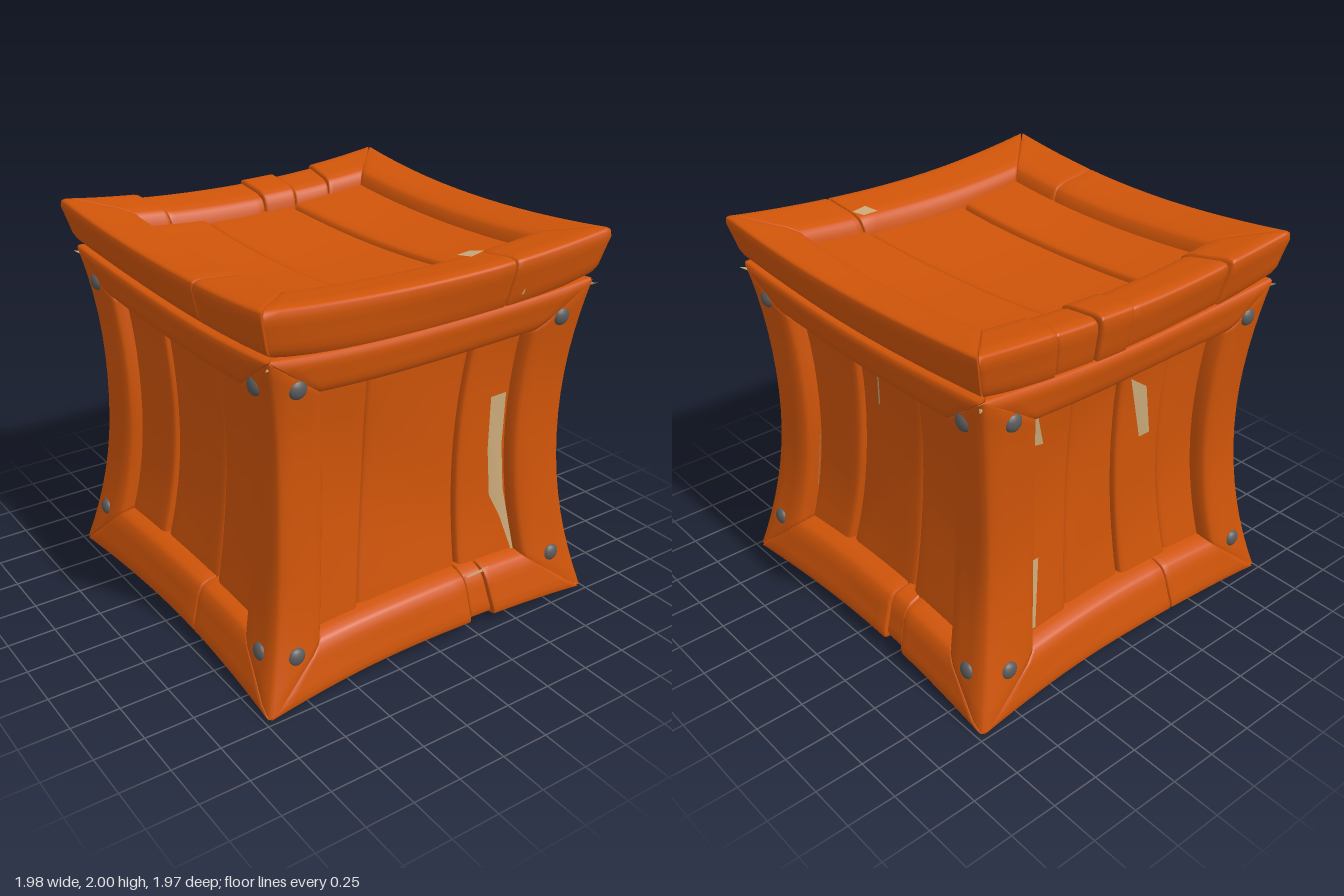
import * as THREE from 'three';
import { mergeVertices } from 'three/addons/utils/BufferGeometryUtils.js';

const wood = new THREE.MeshStandardMaterial({ color: 0xcf5409 });
wood.name = 'orange wood';
const bare = new THREE.MeshStandardMaterial({ color: 0xc9a878, side: THREE.DoubleSide });
bare.name = 'bare wood';
const iron = new THREE.MeshStandardMaterial({ color: 0x5c5a5a });
iron.name = 'iron';

const INNER = 0.68; // inner edge of every frame, in cube units
const lerp = THREE.MathUtils.lerp;
const hump = (t) => Math.sin(Math.PI * t);

// Cube height (-1..1) to crate height for the body
function bodyY(q) {
  if (q < -INNER) return (q + 1) / 0.32 * 0.29;
  if (q > INNER) return 1.54 + (q - INNER) / 0.32 * 0.215;
  return lerp(0.29, 1.54, (q + INNER) / (2 * INNER));
}

// Pinched waist, flared corners and sagging edges
function warp(x, y, z) {
  const d = y - 1;
  const wob = 0.005 * Math.sin(6 * y + 4 * x - 3 * z);
  return new THREE.Vector3(
    x * (0.848 + 0.157 * d * d) * (1 - 0.015 * (1 - z * z)) + wob,
    1 + d * (0.88 + 0.07 * x * x + 0.07 * z * z),
    z * (0.875 + 0.128 * d * d) * (1 - 0.015 * (1 - x * x)) - wob
  );
}

// Body posts are widest on the model's left
function toBody(p) {
  const shift = p.x > 0 ? -0.055 * hump(p.x) : 0.02 * hump(p.x);
  return warp(p.x + shift, bodyY(p.y), p.z);
}

// The lid opening is shifted the other way, and its front and back edges hang lower
function toLid(p) {
  const low = 1.7 + 0.055 * p.x * p.x;
  const x = 0.98 * p.x + (p.x > 0 ? 0.06 * hump(p.x) : 0);
  const z = 0.98 * p.z + (p.z < 0 ? 0.03 * hump(p.z) : 0);
  return warp(x, lerp(low, 2, (p.y - INNER) / 0.32), z);
}

// Rounded, finely divided box between two corners, then bent by a rule
function softBox(lo, hi, r, n, rule) {
  const g = new THREE.BoxGeometry(2, 2, 2, ...n);
  g.deleteAttribute('uv');
  g.deleteAttribute('normal');
  const pos = g.attributes.position;
  for (let i = 0; i < pos.count; i++) {
    const p = [], q = [];
    let len = 0;
    for (let k = 0; k < 3; k++) {
      const N = n[k], s = Math.round((pos.getComponent(i, k) + 1) / 2 * N);
      const L = hi[k] - lo[k], R = r[k];
      let t;
      if (s < 2) t = s * 0.35 * R;
      else if (s > N - 2) t = L - (N - s) * 0.35 * R;
      else t = lerp(R, L - R, (s - 2) / (N - 4));
      p[k] = lo[k] + t;
      q[k] = Math.min(Math.max(p[k], lo[k] + R), hi[k] - R);
      len += ((p[k] - q[k]) / R) ** 2;
    }
    len = Math.sqrt(len) || 1;
    const v = p.map((c, k) => q[k] + (c - q[k]) / len);
    const w = rule(new THREE.Vector3(...v));
    pos.setXYZ(i, w.x, w.y, w.z);
  }
  const m = mergeVertices(g, 1e-5);
  m.computeVertexNormals();
  return m;
}

function add(group, name, geometry, material) {
  const mesh = new THREE.Mesh(geometry, material);
  mesh.name = name;
  group.add(mesh);
  return mesh;
}

// Mitred beam along one cube edge, optionally cracked into pieces
function beam(group, name, axis, s1, s2, cuts = [], lid = false) {
  const others = [0, 1, 2].filter((k) => k !== axis);
  const ends = [-1, ...cuts, 1];
  for (let i = 0; i + 1 < ends.length; i++) {
    const lo = [], hi = [], r = [0.07, 0.07, 0.07], n = [8, 8, 8];
    const outer = i % 2 && ends[i + 1] < 1 ? 0.985 : 1; // inner pieces sit a little deeper
    lo[axis] = ends[i];
    hi[axis] = ends[i + 1];
    r[axis] = 0.01;
    n[axis] = 20;
    others.forEach((k, j) => {
      const s = j ? s2 : s1;
      lo[k] = s > 0 ? INNER : -outer;
      hi[k] = s > 0 ? outer : -INNER;
    });
    const rule = (p) => {
      const m = Math.min(...others.filter((k) => !(lid && k === 1)).map((k) => Math.abs(p.getComponent(k))));
      const u = p.getComponent(axis);
      p.setComponent(axis, u * (1 - (1 - m) * u * u));
      return lid ? toLid(p) : toBody(p);
    };
    add(group, name, softBox(lo, hi, r, n, rule), wood);
  }
}

// Turns face coordinates (across, along, outward) into cube coordinates
const V = (x, y, z) => new THREE.Vector3(x, y, z);
const faces = {
  front: (p) => V(p.x, p.y, p.z),
  right: (p) => V(p.z, p.y, -p.x),
  back: (p) => V(-p.x, p.y, -p.z),
  left: (p) => V(-p.z, p.y, p.x),
  top: (p) => V(p.x, p.z, -p.y),
  bottom: (p) => V(p.x, -p.z, p.y),
};
const place = (face, p) => (face === 'top' ? toLid : toBody)(faces[face](p));

// Recessed planks; each seam is [position at lower end, position at upper end]
function planks(group, face, seams) {
  const edges = [[-0.74, -0.74], ...seams, [0.74, 0.74]];
  for (let i = 0; i + 1 < edges.length; i++) {
    const [a, b] = [edges[i], edges[i + 1]];
    const h = 0.9 + (i % 2 ? -0.012 : 0.006);
    const rule = (p) => {
      const t = (p.y + 0.74) / 1.48;
      const bend = 0.02 * Math.sin(t * 7 + i) * (1 - Math.abs(p.x * 2 - 1));
      p.x = lerp(lerp(a[0], a[1], t), lerp(b[0], b[1], t), p.x) + bend;
      return place(face, p);
    };
    add(group, face + 'Plank', softBox([0, -0.74, 0.76], [1, 0.74, h], [0.09, 0.02, 0.04], [10, 16, 5], rule), wood);
  }
}

// Thin bare-wood patch laid on a face
function chip(group, face, depth, pts) {
  const g = new THREE.ShapeGeometry(new THREE.Shape(pts.map((p) => new THREE.Vector2(...p))));
  const pos = g.attributes.position;
  for (let i = 0; i < pos.count; i++) {
    const w = place(face, V(pos.getX(i), pos.getY(i), depth));
    pos.setXYZ(i, w.x, w.y, w.z);
  }
  g.computeVertexNormals();
  add(group, 'bareWoodChip', g, bare);
}

export function createModel() {
  const crate = new THREE.Group();
  crate.name = 'crate';

  // Body frame: posts, then lower and upper rails
  for (const s of [-1, 1]) {
    for (const t of [-1, 1]) beam(crate, 'cornerPost', 1, s, t);
    beam(crate, 'lowerRail', 0, -1, s, s > 0 ? [0.27, 0.43] : [-0.3]);
    beam(crate, 'lowerSideRail', 2, s, -1, s > 0 ? [-0.34, -0.2] : [0.25]);
    beam(crate, 'upperRail', 0, 1, s);
    beam(crate, 'upperSideRail', 2, s, 1);
  }

  // Lid frame
  beam(crate, 'lidFrontBeam', 0, 1, 1, [0.35], true);
  beam(crate, 'lidBackBeam', 0, 1, -1, [-0.58, 0.06, 0.24, 0.48], true);
  beam(crate, 'lidLeftBeam', 2, 1, 1, [], true);
  beam(crate, 'lidRightBeam', 2, -1, 1, [0.38], true);

  // Planks of all six faces
  planks(crate, 'front', [[-0.4, -0.34], [0.29, 0.37]]);
  planks(crate, 'right', [[-0.33, -0.22], [0.25, 0.32]]);
  planks(crate, 'back', [[-0.4, -0.37], [0.06, 0.02], [0.4, 0.36]]);
  planks(crate, 'left', [[-0.3, -0.26], [0.27, 0.3]]);
  planks(crate, 'top', [[-0.3, -0.3], [0.31, 0.225]]);
  planks(crate, 'bottom', [[-0.28, -0.3], [0.3, 0.26]]);

  // Bare wood where the paint has split away
  chip(crate, 'front', 0.915, [[0.55, 0.32], [0.555, 0], [0.56, -0.3], [0.62, -0.45], [0.665, -0.68], [0.68, -0.68], [0.67, -0.42], [0.66, -0.28], [0.655, 0], [0.655, 0.32]]);
  chip(crate, 'front', 0.975, [[0.29, -0.7], [0.46, -0.69], [0.45, -0.72], [0.4, -0.71], [0.3, -0.715]]);
  chip(crate, 'front', 0.99, [[0.52, 1.06], [0.54, 1.06], [0.535, 1.11]]);
  chip(crate, 'back', 0.915, [[0.08, 0.62], [0.2, 0.2], [0.28, 0.2], [0.21, 0.52]]);
  chip(crate, 'back', 0.915, [[-0.68, 0.66], [-0.68, 0.48], [-0.59, 0.46], [-0.63, 0.66]]);
  chip(crate, 'back', 0.915, [[-0.69, -0.66], [-0.68, -0.25], [-0.61, -0.25], [-0.63, -0.66]]);
  chip(crate, 'right', 0.915, [[-0.04, 0.4], [0, 0.62], [0.012, 0.62], [-0.025, 0.4]]);
  chip(crate, 'right', 0.915, [[-0.69, -0.45], [-0.69, -0.1], [-0.672, -0.1], [-0.672, -0.45]]);
  chip(crate, 'top', 1.004, [[0.23, -0.7], [0.31, -0.69], [0.34, -0.75], [0.25, -0.78]]);

  // Iron rivets, two rows on each side face
  const ball = new THREE.SphereGeometry(0.047, 16, 10);
  ['front', 'right', 'back', 'left'].forEach((face, i) => {
    for (const s of [-1, 1]) {
      for (const [u, v] of [[0.84, 0.76], [0.855, -0.71]]) {
        const rivet = add(crate, 'rivet', ball, iron);
        rivet.position.copy(place(face, V(s * u, v, 0.99)));
        rivet.rotation.y = i * Math.PI / 2;
        rivet.scale.set(1, 1, 0.65);
      }
    }
  });

  // Splinters under the lid corners
  const spike = new THREE.ConeGeometry(0.02, 0.09, 4);
  for (const x of [-1, 1]) {
    for (const z of [-1, 1]) {
      const splinter = add(crate, 'splinter', spike, bare);
      splinter.position.set(x * 0.905, 1.715, z * 0.905);
      splinter.quaternion.setFromUnitVectors(V(0, 1, 0), V(x, 0.25, z).normalize());
    }
  }
  return crate;
}
